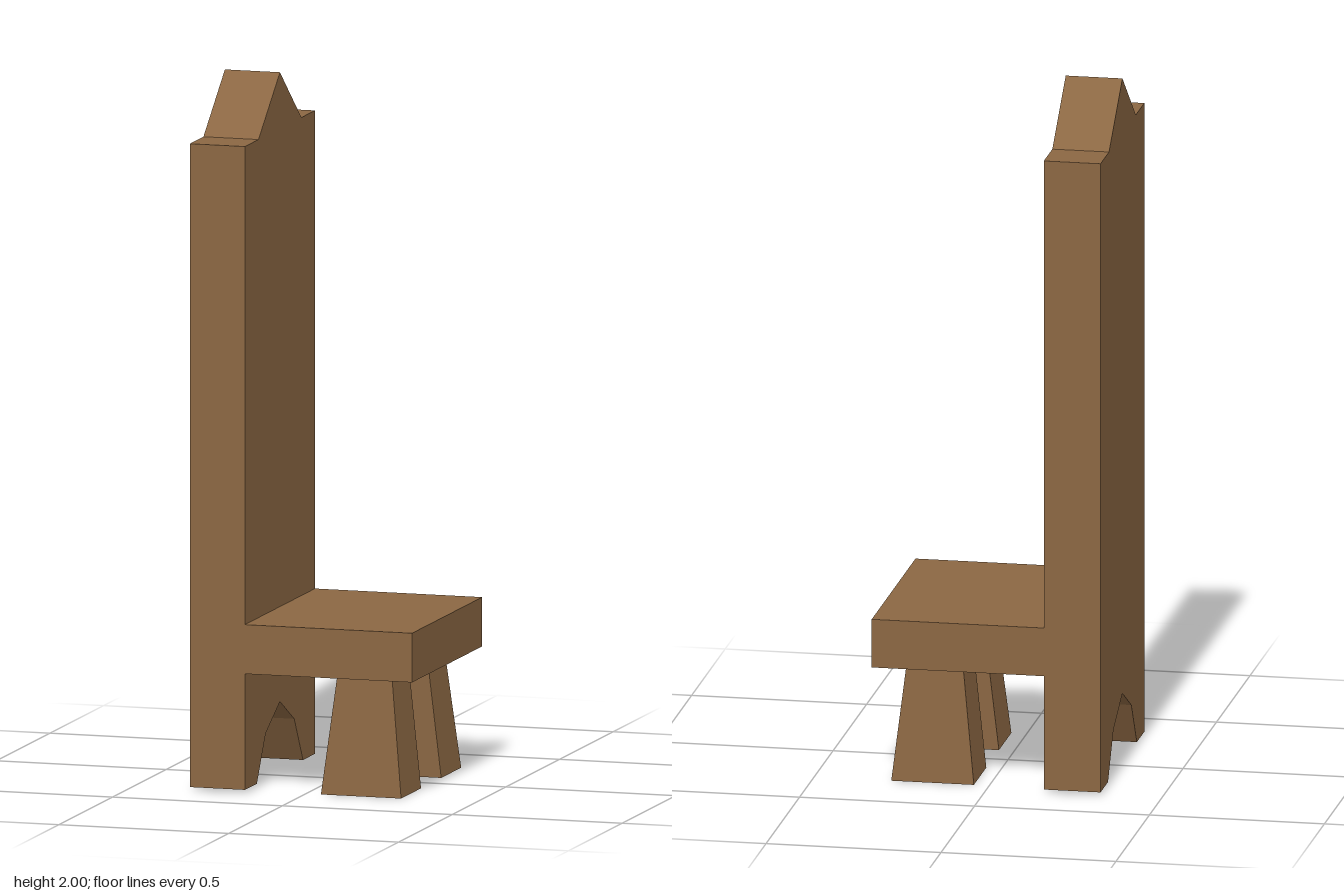
import * as THREE from 'three';

export function createModel() {
  const model = new THREE.Group();
  const wood = new THREE.MeshStandardMaterial({ color: 0x8b6743 });
  wood.name = 'brown wood';

  const add = (name, geometry, x, y, z) => {
    const mesh = new THREE.Mesh(geometry, wood);
    mesh.name = name;
    mesh.position.set(x, y, z);
    model.add(mesh);
  };

  // Tall back board: gabled top and arched cut-out between its feet
  const half = [[0, 2], [0.2, 1.84], [0.327, 1.84], [0.327, 0.01], [0.215, 0.01], [0.133, 0.14], [0, 0.21]];
  const mirrored = half.slice(1, -1).reverse().map(([z, y]) => [-z, y]);
  const outline = new THREE.Shape([...half, ...mirrored].map(([z, y]) => new THREE.Vector2(z, y)));
  const board = new THREE.ExtrudeGeometry(outline, { depth: 0.162, bevelEnabled: false });
  board.rotateY(Math.PI / 2);
  add('backBoard', board, -0.327, 0, 0);

  // Seat slab
  add('seat', new THREE.BoxGeometry(0.492, 0.14, 0.654), 0.081, 0.41, 0);

  // Tapered leg: 0.16 square at the top, wider at the foot
  const legGeometry = () => {
    const geometry = new THREE.BoxGeometry(1, 0.34, 1);
    const p = geometry.attributes.position;
    for (let i = 0; i < p.count; i++) {
      const top = p.getY(i) > 0;
      p.setX(i, p.getX(i) * (top ? 0.16 : 0.236));
      p.setZ(i, p.getZ(i) * (top ? 0.16 : 0.186) + (top ? 0 : 0.022));
    }
    geometry.computeVertexNormals();
    return geometry;
  };

  // Front pair of legs, mirrored by a half turn
  for (const side of [1, -1]) {
    const geometry = legGeometry();
    if (side < 0) geometry.rotateY(Math.PI);
    add(side > 0 ? 'leftLeg' : 'rightLeg', geometry, 0.162, 0.17, side * 0.165);
  }

  return model;
}
